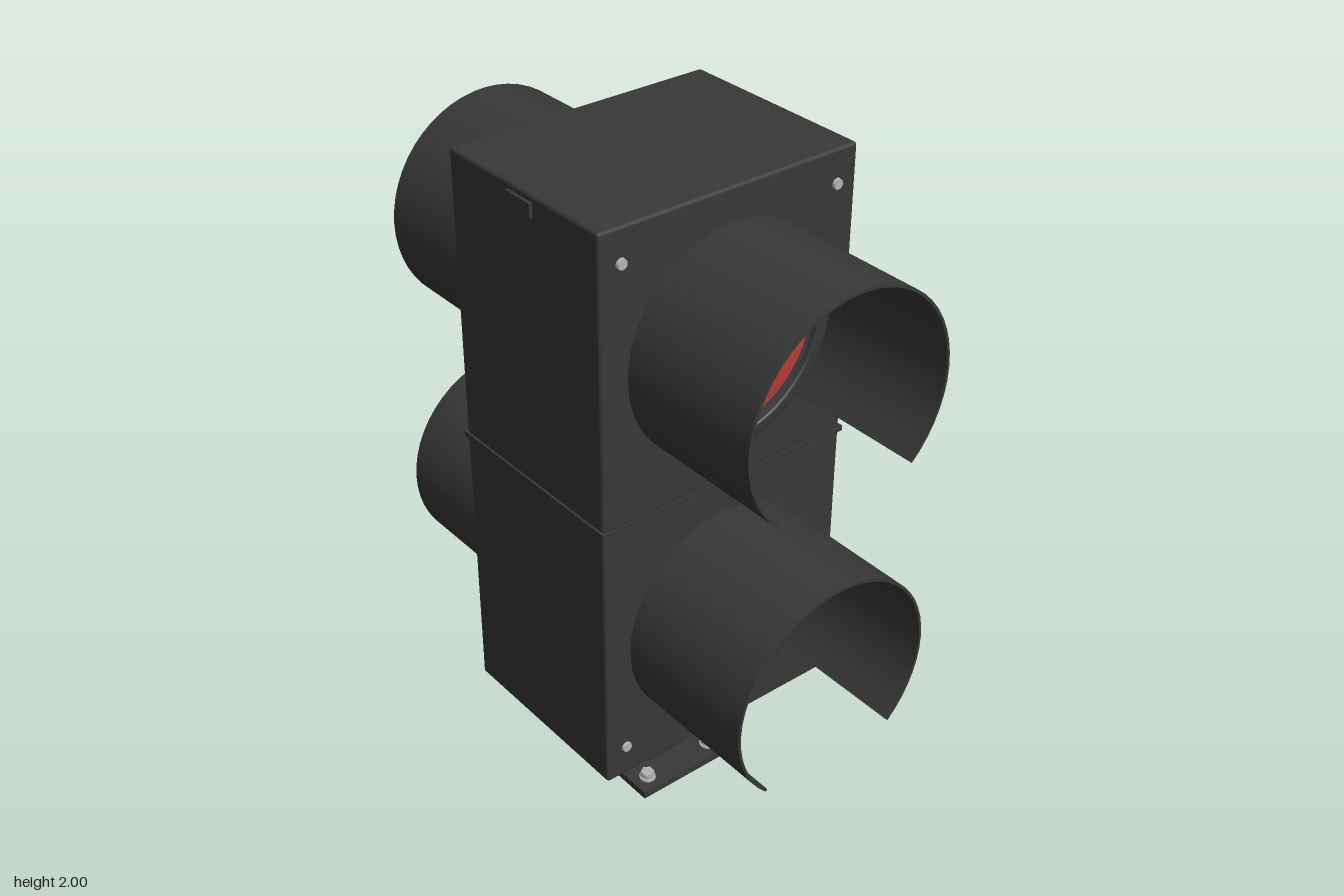
import * as THREE from 'three';
import { toCreasedNormals } from 'three/addons/utils/BufferGeometryUtils.js';
import { RoundedBoxGeometry } from 'three/addons/geometries/RoundedBoxGeometry.js';

const material = (name, color) => {
  const m = new THREE.MeshStandardMaterial({ color });
  m.name = name;
  return m;
};

export function createModel() {
  const housing = material('charcoal housing', 0x383838);
  const red = material('red lens', 0xc0403a);
  const green = material('green lens', 0x48ad7c);
  const steel = material('steel bolts', 0xb4b4b4);

  const model = new THREE.Group();
  model.name = 'twoSidedSignal';

  const add = (parent, name, geometry, mat, x = 0, y = 0, z = 0) => {
    const mesh = new THREE.Mesh(geometry, mat);
    mesh.name = name;
    mesh.position.set(x, y, z);
    parent.add(mesh);
    return mesh;
  };
  const box = (w, h, d) => new THREE.BoxGeometry(w, h, d);

  // Housing: two stacked boxes, joined by a thin seam strip
  add(model, 'lowerHousing', new RoundedBoxGeometry(0.81, 0.843, 0.61, 2, 0.01), housing, 0, 0.7315);
  add(model, 'upperHousing', new RoundedBoxGeometry(0.81, 0.843, 0.61, 2, 0.01), housing, 0, 1.5785);
  add(model, 'seamStrip', box(0.822, 0.016, 0.622), housing, 0, 1.155);
  for (const s of [-1, 1]) add(model, 'sideLatch', box(0.02, 0.038, 0.1), housing, s * 0.405, 1.963);

  // Bezel: rounded ring around the lens, turned about the z axis
  const bezelProfile = [
    [0.319, 0], [0.319, 0.022], [0.316, 0.028], [0.31, 0.032], [0.282, 0.032],
    [0.278, 0.028], [0.276, 0.015], [0.264, 0.012], [0.264, 0],
  ].map(([r, h]) => new THREE.Vector2(r, h)).reverse();
  const bezelGeometry = toCreasedNormals(
    new THREE.LatheGeometry(bezelProfile.reverse(), 48).rotateX(Math.PI / 2), 0.6);
  const bezelMaterial = housing.clone();
  bezelMaterial.side = THREE.DoubleSide;

  // Lens: shallow dome
  const lensProfile = [];
  for (let i = 0; i <= 8; i++) {
    const r = 0.266 * (1 - i / 8);
    lensProfile.push(new THREE.Vector2(r, 0.012 + 0.03 * (1 - (r / 0.266) ** 2)));
  }
  const lensGeometry = new THREE.LatheGeometry(lensProfile, 48).rotateX(Math.PI / 2);

  // Visor: thin hood, open at the bottom
  const gap = Math.asin(0.235 / 0.323);
  const arc = new THREE.Shape();
  arc.absarc(0, 0, 0.323, -gap, Math.PI + gap, false);
  arc.absarc(0, 0, 0.315, Math.PI + gap, -gap, true);
  arc.closePath();
  const visorGeometry = toCreasedNormals(
    new THREE.ExtrudeGeometry(arc, { depth: 0.443, bevelEnabled: false, curveSegments: 20 }), 0.6);

  const screwGeometry = new THREE.CylinderGeometry(0.014, 0.017, 0.014, 12).rotateX(Math.PI / 2);

  // The same signal face on the front and on the back
  for (const side of ['front', 'back']) {
    const face = new THREE.Group();
    face.name = side + 'Face';
    if (side === 'back') face.rotation.y = Math.PI;
    model.add(face);
    for (const [name, y, mat] of [['red', 1.583, red], ['green', 0.735, green]]) {
      add(face, name + 'Bezel', bezelGeometry, bezelMaterial, 0, y, 0.303);
      add(face, name + 'Lens', lensGeometry, mat, 0, y, 0.303);
      add(face, name + 'Visor', visorGeometry, housing, 0, y, 0.303);
    }
    for (const x of [-0.34, 0.34]) {
      for (const y of [0.41, 1.905]) add(face, 'cornerScrew', screwGeometry, steel, x, y, 0.306);
    }
  }

  // Post and base plate with four bolts
  add(model, 'post', box(0.136, 0.3, 0.136), housing, 0, 0.165);
  add(model, 'basePlate', box(0.334, 0.022, 0.334), housing, 0, 0.011);
  const washer = new THREE.CylinderGeometry(0.025, 0.025, 0.006, 16);
  const head = new THREE.CylinderGeometry(0.021, 0.021, 0.02, 6);
  for (const x of [-0.117, 0.117]) {
    for (const z of [-0.117, 0.117]) {
      add(model, 'baseWasher', washer, steel, x, 0.025, z);
      add(model, 'baseBolt', head, steel, x, 0.035, z);
    }
  }
  return model;
}
